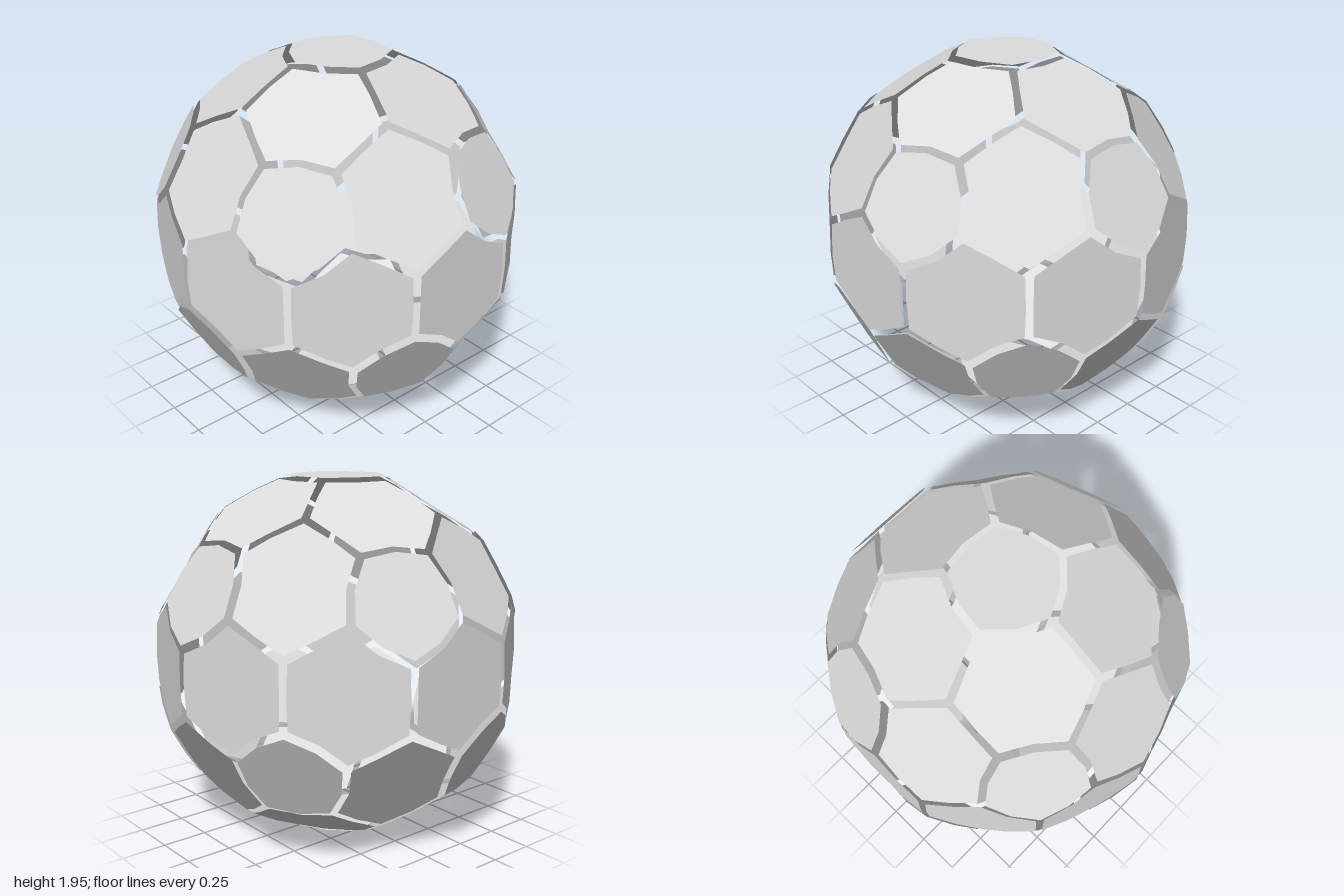
import * as THREE from 'three';

const PENT_HEIGHT = 0.974; // distance of the five-sided panels from the ball's centre

const shell = new THREE.MeshStandardMaterial({ color: 0xdddddd, side: THREE.DoubleSide });
shell.name = 'light grey shell';

// Panel centres: 12 icosahedron corners, then the 30 midpoints of its edges
function panelCentres() {
  const pents = [new THREE.Vector3(0, 1, 0)];
  for (let i = 0; i < 5; i++) {
    const a = (i * Math.PI * 2) / 5;
    pents.push(new THREE.Vector3(2 * Math.cos(a), 1, 2 * Math.sin(a)).normalize());
  }
  pents.push(...pents.map((p) => p.clone().negate()));
  const hexes = [];
  pents.forEach((p, i) => {
    for (let j = i + 1; j < pents.length; j++) {
      if (p.dot(pents[j]) > 0.4) hexes.push(p.clone().add(pents[j]).normalize());
    }
  });
  return { pents, hexes };
}

// One thin panel: a fan whose rim alternates edge midpoints and corners, inset for the gap
function panelGeometry(axis, centres, isPent) {
  const helper = Math.abs(axis.y) < 0.9 ? new THREE.Vector3(0, 1, 0) : new THREE.Vector3(1, 0, 0);
  const u = helper.cross(axis).normalize();
  const v = axis.clone().cross(u);
  const angle = (p) => Math.atan2(p.dot(v), p.dot(u));
  const near = centres
    .filter((p) => p.dot(axis) > 0.79 && p.dot(axis) < 0.999)
    .sort((a, b) => angle(a) - angle(b));

  const place = (p, inset) => {
    const d = p.normalize().dot(axis);
    const tangent = p.clone().addScaledVector(axis, -d);
    tangent.setLength(tangent.length() - inset);
    const height = isPent ? PENT_HEIGHT : 0.955 + 0.45 * (d - 0.951);
    return tangent.addScaledVector(axis, height);
  };
  const rim = [];
  near.forEach((n, i) => {
    const next = near[(i + 1) % near.length];
    rim.push(place(axis.clone().add(n), isPent ? 0.021 : 0.017));
    rim.push(place(axis.clone().add(n).add(next), 0.021));
  });

  const points = [axis.clone().multiplyScalar(isPent ? PENT_HEIGHT : 0.957), ...rim];
  const index = [];
  rim.forEach((_, i) => index.push(0, i + 1, ((i + 1) % rim.length) + 1));
  const geometry = new THREE.BufferGeometry().setFromPoints(points);
  geometry.setIndex(index);
  // Every panel shades as one even facet
  const normals = points.flatMap(() => axis.toArray());
  geometry.setAttribute('normal', new THREE.Float32BufferAttribute(normals, 3));
  return geometry;
}

export function createModel() {
  const model = new THREE.Group();
  model.name = 'panelledBall';
  const { pents, hexes } = panelCentres();
  const all = [...pents, ...hexes];
  const addPanels = (name, list, isPent) => {
    const group = new THREE.Group();
    group.name = name + 's';
    list.forEach((axis) => {
      const mesh = new THREE.Mesh(panelGeometry(axis, all, isPent), shell);
      mesh.name = name;
      group.add(mesh);
    });
    model.add(group);
  };
  addPanels('fiveSidedPanel', pents, true);
  addPanels('sixSidedPanel', hexes, false);
  model.position.y = PENT_HEIGHT;
  return model;
}
